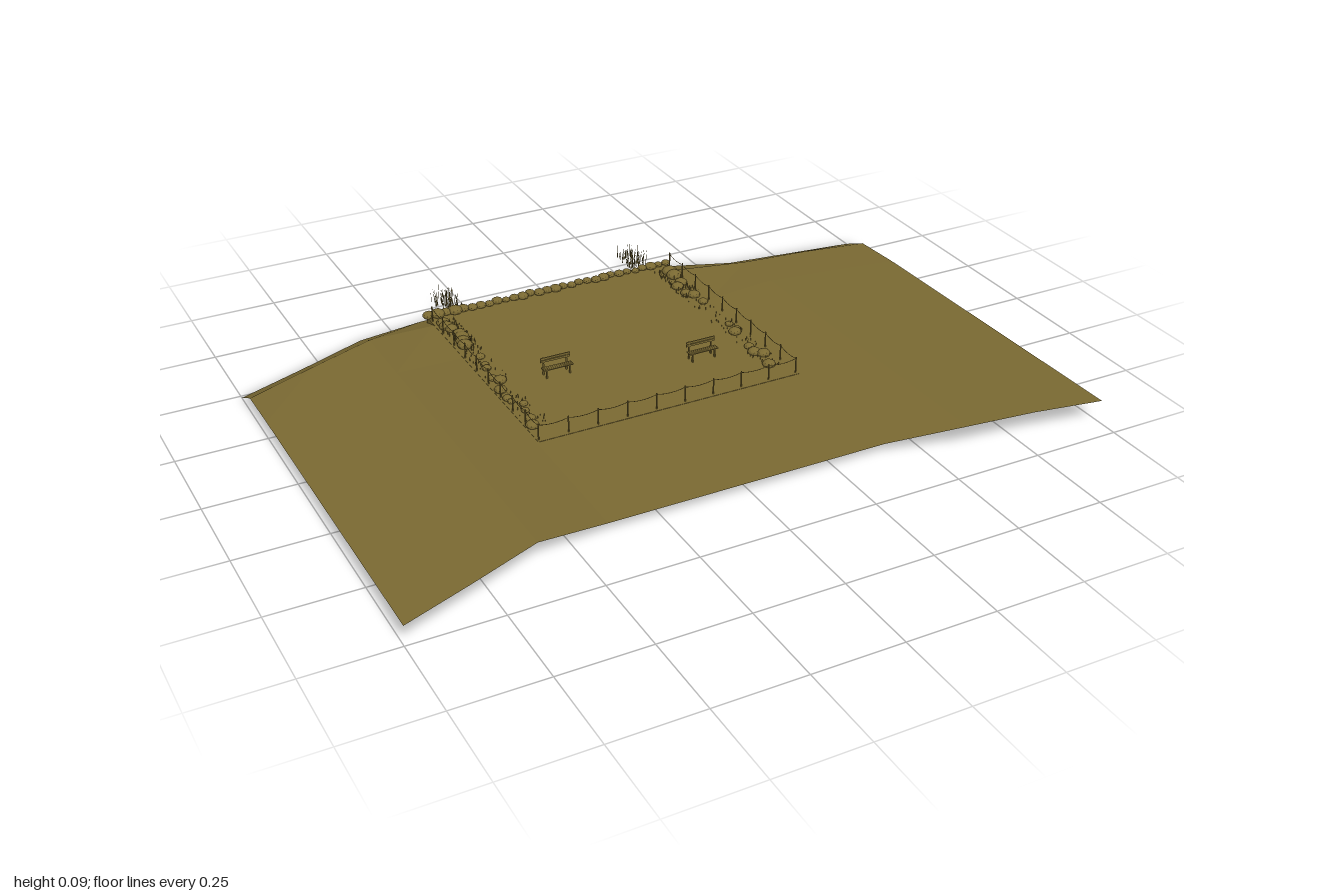
import * as THREE from 'three';
import { mergeGeometries } from 'three/addons/utils/BufferGeometryUtils.js';

const earth = new THREE.MeshStandardMaterial({ color: 0x7a6932, side: THREE.DoubleSide, flatShading: true });
const FLOOR = 0.031;

// Small seeded random source
let seed = 7;
const rand = (a, b) => {
  seed = (seed * 16807) % 2147483647;
  return a + (b - a) * (seed / 2147483647);
};

function add(group, name, geometry) {
  const mesh = new THREE.Mesh(geometry, earth);
  mesh.name = name;
  group.add(mesh);
  return mesh;
}

// Thin sheet of land: a flat dip between two banks, falling away at the back
function groundGeometry() {
  const xs = [-1, -0.8, -0.6, -0.4, 0.4, 0.6, 0.8, 1];
  const rows = [
    { z: [-0.49, -0.57, -0.655, -0.685, -0.685, -0.61, -0.585, -0.56], y: [0, 0, 0, 0, 0, 0, 0, 0] },
    { z: [-0.4, -0.485, -0.57, -0.59, -0.59, -0.52, -0.5, -0.47], y: [0.045, 0.045, 0.042, 0.03, 0.03, 0.042, 0.042, 0.04] },
    { z: [-0.25, -0.3, -0.35, -0.37, -0.37, -0.36, -0.335, -0.31], y: [0.049, 0.048, 0.045, 0.03, 0.03, 0.05, 0.05, 0.048] },
    { z: [0.755, 0.675, 0.59, 0.56, 0.56, 0.64, 0.66, 0.69], y: [0.06, 0.058, 0.055, 0.03, 0.03, 0.07, 0.069, 0.066] },
  ];
  const n = xs.length, position = [], index = [];
  rows.forEach((row, r) => xs.forEach((x, c) => {
    position.push(x, row.y[c], row.z[c]);
    if (r < rows.length - 1 && c < n - 1) {
      const a = r * n + c, front = a + n;
      index.push(a, front, a + 1, a + 1, front, front + 1);
    }
  }));
  const g = new THREE.BufferGeometry();
  g.setAttribute('position', new THREE.Float32BufferAttribute(position, 3));
  g.setIndex(index);
  g.computeVertexNormals();
  return g;
}

// Posts along one straight side, with ropes sagging between them
function fence(from, to, count) {
  const group = new THREE.Group();
  group.name = 'ropeFence';
  const posts = [], ropes = [];
  const at = i => from.clone().lerp(to, i / count);
  for (let i = 0; i <= count; i++) {
    const p = at(i);
    posts.push(new THREE.CylinderGeometry(0.002, 0.002, 0.048, 6).translate(p.x, FLOOR + 0.024, p.z));
    if (i === count) continue;
    const q = at(i + 1), m = p.clone().lerp(q, 0.5);
    p.y = q.y = FLOOR + 0.044;
    m.y = FLOOR + 0.033;
    ropes.push(new THREE.TubeGeometry(new THREE.QuadraticBezierCurve3(p, m, q), 6, 0.001, 4));
  }
  add(group, 'fencePosts', mergeGeometries(posts));
  add(group, 'fenceRopes', mergeGeometries(ropes));
  return group;
}

// Slatted bench facing the front
function bench(x, z) {
  const group = new THREE.Group();
  group.name = 'bench';
  const box = (name, w, h, d, px, py, pz) => add(group, name, new THREE.BoxGeometry(w, h, d).translate(px, py, pz));
  for (const dz of [-0.004, 0.003, 0.01]) box('seatSlat', 0.09, 0.003, 0.006, 0, 0.026, dz);
  for (const y of [0.043, 0.051]) box('backSlat', 0.09, 0.006, 0.003, 0, y, -0.011);
  for (const s of [-1, 1]) {
    box('frontLeg', 0.004, 0.025, 0.004, s * 0.035, 0.0125, 0.01);
    box('backLeg', 0.004, 0.053, 0.004, s * 0.035, 0.0265, -0.013);
    box('seatBearer', 0.004, 0.003, 0.024, s * 0.035, 0.023, -0.001);
  }
  group.position.set(x, FLOOR, z);
  return group;
}

// Low rounded bush
const bush = (x, z, r) =>
  new THREE.IcosahedronGeometry(r, 1).scale(1, 0.65, 1).translate(x, FLOOR + r * 0.25, z);

// Patch of thin upright blades
function grass(count, x0, x1, z0, z1, h0, h1) {
  const blades = [];
  for (let i = 0; i < count; i++) {
    const h = rand(h0, h1);
    blades.push(new THREE.ConeGeometry(0.0016, h, 3).translate(0, h / 2, 0)
      .rotateX(rand(-0.15, 0.15)).rotateZ(rand(-0.15, 0.15))
      .translate(rand(x0, x1), FLOOR - 0.003, rand(z0, z1)));
  }
  return mergeGeometries(blades);
}

export function createModel() {
  seed = 7;
  const model = new THREE.Group();
  model.name = 'hillsideGarden';

  add(model, 'ground', groundGeometry());
  add(model, 'terraceSlab', new THREE.BoxGeometry(0.79, 0.021, 0.79).translate(0, 0.0205, -0.255));

  // Fence on the front and both sides
  const corner = (x, z) => new THREE.Vector3(x, 0, z);
  model.add(fence(corner(-0.39, 0.13), corner(0.39, 0.13), 9));
  for (const x of [-0.39, 0.39]) model.add(fence(corner(x, 0.13), corner(x, -0.615), 9));

  model.add(bench(-0.2, -0.165), bench(0.2, -0.062));

  // Hedge of bushes along the back
  const hedge = [];
  for (let i = 0; i < 30; i++) {
    hedge.push(bush(-0.39 + i * 0.0269, -0.641 + rand(-0.006, 0.006), i === 1 || i === 3 ? 0.022 : rand(0.012, 0.019)));
  }
  add(model, 'backHedge', mergeGeometries(hedge));

  // Bushes in the side beds
  const beds = {
    leftBushes: [-0.365, [-0.585, -0.56, -0.54, -0.5, -0.48, -0.455, -0.43, -0.35, -0.3, -0.28, -0.22, -0.2, -0.15, -0.1, -0.08, -0.055, -0.02, 0.025, 0.06]],
    rightBushes: [0.36, [-0.58, -0.55, -0.5, -0.48, -0.43, -0.41, -0.36, -0.2, -0.165, -0.15, -0.055, -0.02, 0.0, 0.06]],
  };
  for (const [name, [x, zs]] of Object.entries(beds)) {
    add(model, name, mergeGeometries(zs.map(z =>
      bush(x + rand(-0.015, 0.015), z, z < -0.4 ? rand(0.017, 0.025) : rand(0.01, 0.02)))));
  }

  // Grass in the beds and tall tufts behind the hedge
  for (const s of [-1, 1]) {
    const a = s * 0.355 - 0.03, b = s * 0.355 + 0.03;
    add(model, 'bedGrass', grass(90, a, b, -0.6, -0.4, 0.01, 0.024));
    add(model, 'bedGrass', grass(70, a, b, -0.4, 0.08, 0.008, 0.018));
    add(model, 'tallGrass', grass(60, s * 0.31 - 0.035, s * 0.31 + 0.03, -0.755, -0.65, 0.025, 0.055));
  }
  return model;
}
